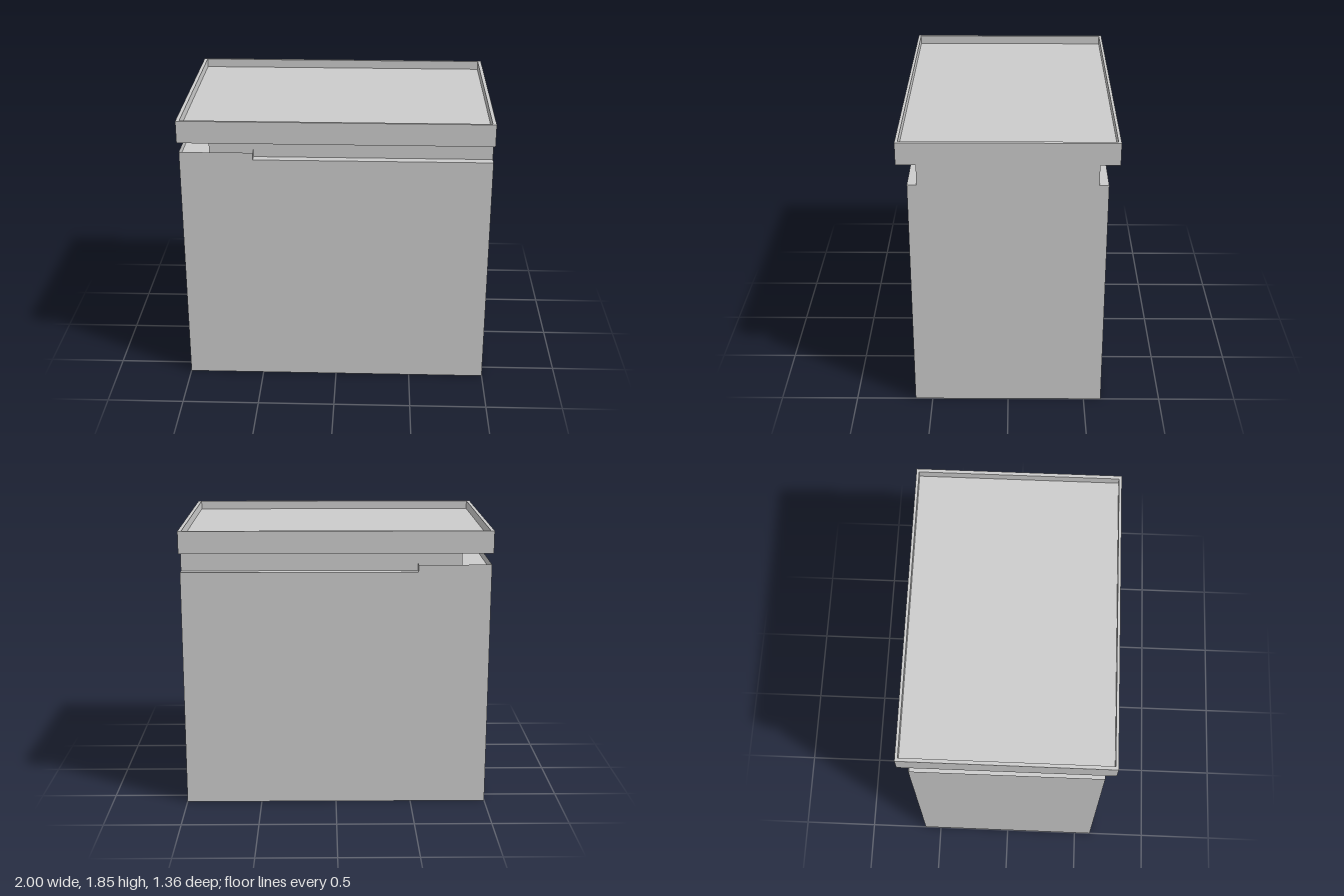
import * as THREE from 'three';

const material = new THREE.MeshStandardMaterial({ color: 0xcccccc, side: THREE.DoubleSide });

function add(group, name, geometry, x = 0, y = 0, z = 0) {
  const mesh = new THREE.Mesh(geometry, material);
  mesh.name = name;
  mesh.position.set(x, y, z);
  group.add(mesh);
  return mesh;
}

const rectangle = (halfW, halfH) => [[-halfW, -halfH], [halfW, -halfH], [halfW, halfH], [-halfW, halfH]]
  .map(([x, y]) => new THREE.Vector2(x, y));

export function createModel() {
  const group = new THREE.Group();
  const bodyZ = 0.613, neckZ = 0.555, lidZ = 0.678;
  const deckY = 1.572, rimY = 1.62, lidY = 1.705, topY = 1.85;
  const stepX = -0.53, neckX = -0.815;

  // Thin front and back walls, stepped down along most of the top edge
  const wall = new THREE.ShapeGeometry(new THREE.Shape([
    [-1, 0], [1, 0], [1, deckY], [stepX, deckY], [stepX, rimY], [-1, rimY],
  ].map(([x, y]) => new THREE.Vector2(x, y))));
  for (const side of [1, -1]) {
    add(group, side > 0 ? 'frontWall' : 'backWall', wall, 0, 0, side * bodyZ);
    // Small tab closing the step between wall and neck
    const tab = add(group, 'stepTab', new THREE.PlaneGeometry(bodyZ - neckZ, rimY - deckY),
      stepX, (rimY + deckY) / 2, side * (bodyZ + neckZ) / 2);
    tab.rotation.y = Math.PI / 2;
  }

  // Thin end walls; the body is open underneath
  for (const [name, x, h] of [['leftWall', 1, deckY], ['rightWall', -1, rimY]]) {
    add(group, name, new THREE.PlaneGeometry(2 * bodyZ, h), x, h / 2, 0).rotation.y = x * Math.PI / 2;
  }

  // Deck sunk below the rim
  add(group, 'deck', new THREE.PlaneGeometry(2, 2 * bodyZ), 0, deckY, 0).rotation.x = -Math.PI / 2;

  // Neck carrying the lid, flush with the left end
  add(group, 'neck', new THREE.BoxGeometry(1 - neckX, lidY - deckY, 2 * neckZ),
    (1 + neckX) / 2, (lidY + deckY) / 2, 0);

  // Tray-shaped lid: raised border around a sunken panel
  const innerX = 0.977, innerZ = 0.66, panelY = 1.793;
  const border = new THREE.Shape(rectangle(1, lidZ));
  border.holes.push(new THREE.Path(rectangle(innerX, innerZ)));
  const rim = new THREE.ExtrudeGeometry(border, { depth: topY - lidY, bevelEnabled: false });
  add(group, 'lidBorder', rim.rotateX(-Math.PI / 2), 0, lidY, 0);
  add(group, 'lidPanel', new THREE.BoxGeometry(2 * innerX, panelY - lidY, 2 * innerZ),
    0, (panelY + lidY) / 2, 0);

  return group;
}
